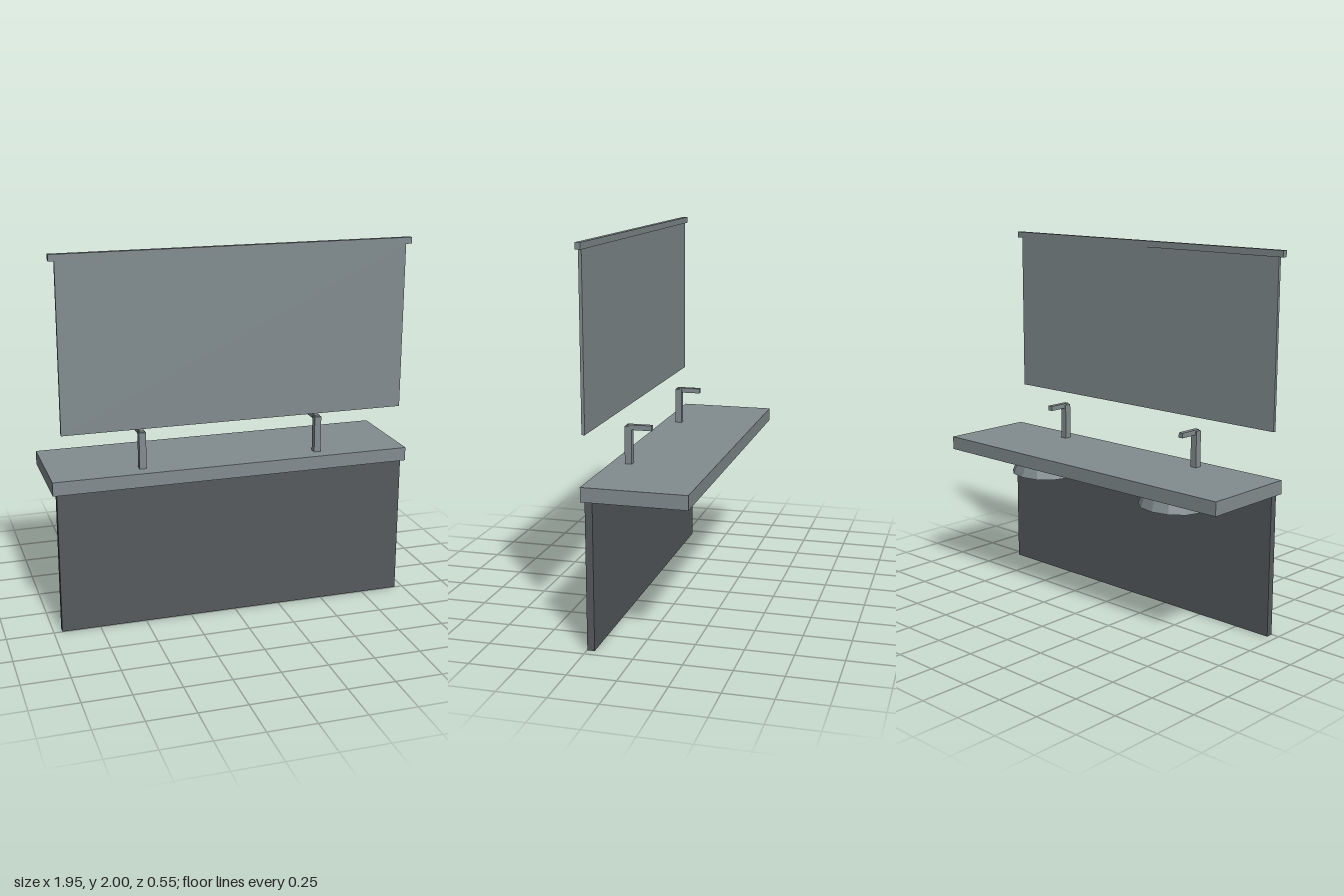
import * as THREE from 'three';

export function createModel() {
  const group = new THREE.Group();
  const grey = new THREE.MeshStandardMaterial({ color: 0x828c8f });
  grey.name = 'blue grey';
  const dark = new THREE.MeshStandardMaterial({ color: 0x565a5d });
  dark.name = 'dark grey';

  // Box given by its half width and its y and z limits
  function addBox(name, material, halfWidth, y0, y1, z0, z1, x = 0) {
    const geometry = new THREE.BoxGeometry(2 * halfWidth, y1 - y0, z1 - z0);
    const mesh = new THREE.Mesh(geometry, material);
    mesh.position.set(x, (y0 + y1) / 2, (z0 + z1) / 2);
    mesh.name = name;
    group.add(mesh);
  }

  // Support panel and countertop
  addBox('supportPanel', dark, 0.955, 0, 0.766, 0.21, 0.248);
  addBox('countertop', grey, 0.977, 0.766, 0.84, -0.273, 0.263);

  // Mirror hanging from a top rail
  addBox('mirror', grey, 0.925, 1.084, 1.966, 0.252, 0.268);
  addBox('mirrorRail', grey, 0.955, 1.966, 2, 0.246, 0.273);

  // Faceted oval bowls, wider at the bottom
  const bowlGeometry = new THREE.CylinderGeometry(0.12, 0.156, 0.101, 12).toNonIndexed();
  bowlGeometry.scale(1.22, 1, 1);
  bowlGeometry.computeVertexNormals();

  for (const [side, x] of [['left', 0.487], ['right', -0.487]]) {
    // Tap: upright post with a spout reaching over the counter
    addBox(side + 'TapPost', grey, 0.0185, 0.84, 1.037, 0.151, 0.188, x);
    addBox(side + 'TapSpout', grey, 0.0135, 1.018, 1.045, 0.045, 0.179, x);

    const bowl = new THREE.Mesh(bowlGeometry, grey);
    bowl.position.set(x, 0.7165, -0.023);
    bowl.name = side + 'Bowl';
    group.add(bowl);
  }
  return group;
}
